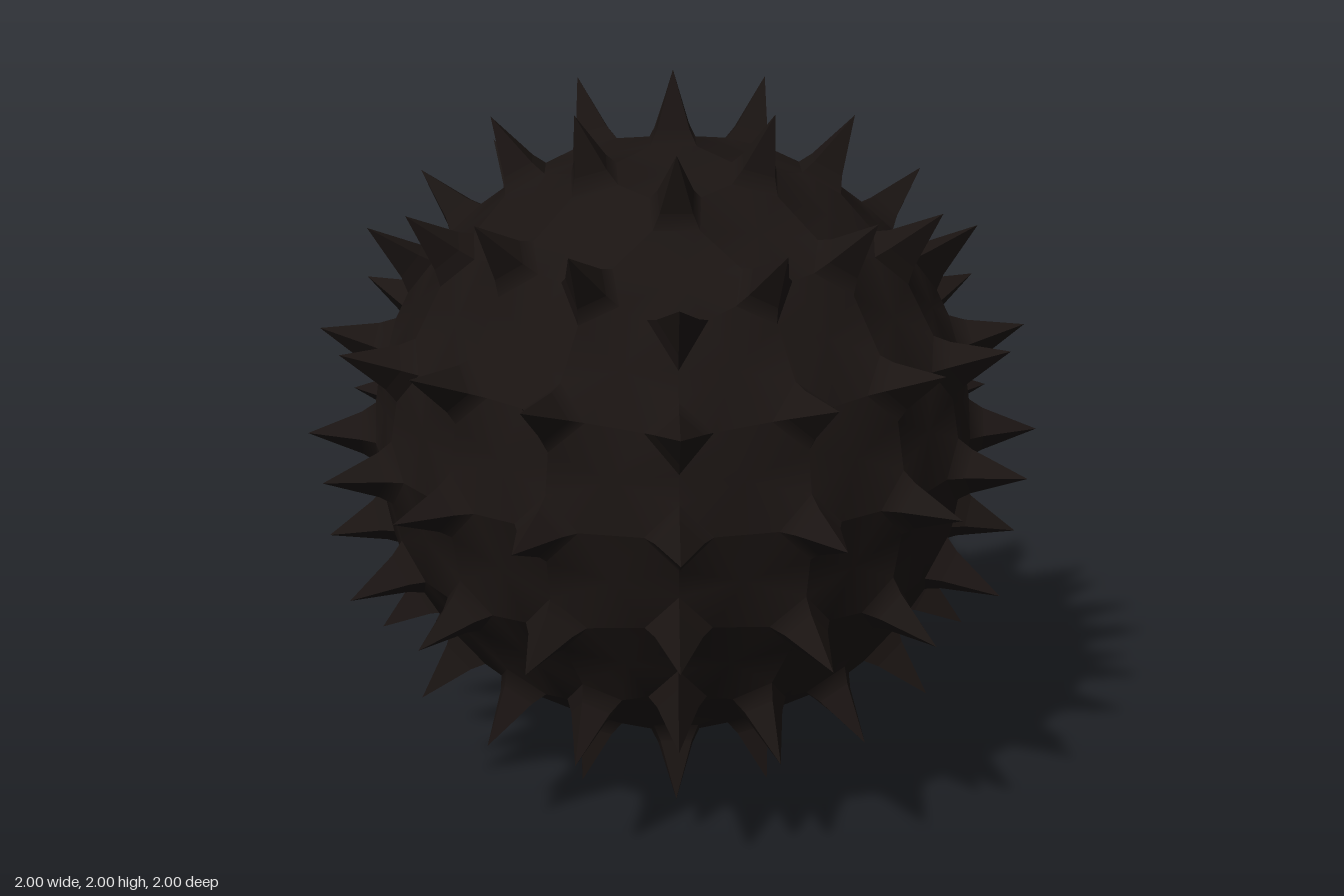
import * as THREE from 'three';
import { toCreasedNormals } from 'three/addons/utils/BufferGeometryUtils.js';

const BODY_R = 0.825, TIP_R = 1;

// Direction of a grid point (i, j from -2 to 2) on one side of a rounded cube.
function gridDirection(axis, sign, i, j) {
  const slide = (a, b) => {
    if (Math.abs(a) !== 1) return a / 2;
    return a * (Math.abs(b) === 2 ? 0.445 : 0.387);
  };
  const c = [0, 0, 0];
  c[axis] = sign;
  c[(axis + 1) % 3] = sign * slide(i, j);
  c[(axis + 2) % 3] = slide(j, i);
  return new THREE.Vector3(...c).normalize();
}

// Point on the grid edge from one corner toward another, lifted outward.
function edgePoint(from, to, distance, lift) {
  const start = from.clone().multiplyScalar(BODY_R);
  const along = to.clone().sub(from).normalize();
  return start.addScaledVector(along, distance).addScaledVector(from, lift);
}

function geometryFrom(points) {
  const geometry = new THREE.BufferGeometry().setFromPoints(points);
  return toCreasedNormals(geometry, 0.9);
}

export function createModel() {
  const group = new THREE.Group();
  const body = [], spikes = [];

  for (let axis = 0; axis < 3; axis++) for (const sign of [1, -1])
    for (let i = -2; i < 2; i++) for (let j = -2; j < 2; j++) {
      const corners = [[0, 0], [1, 0], [1, 1], [0, 1]]
        .map(([a, b]) => gridDirection(axis, sign, i + a, j + b));

      // Each panel is a quad with its corners cut off where the spikes stand.
      const outline = [];
      corners.forEach((corner, k) => {
        const next = corners[(k + 1) % 4], prev = corners[(k + 3) % 4];
        const a = edgePoint(corner, next, 0.088, 0);
        const b = edgePoint(corner, prev, 0.088, 0);
        const aTop = edgePoint(corner, next, 0.062, 0.035);
        const bTop = edgePoint(corner, prev, 0.062, 0.035);
        outline.push(b, a);
        // flared foot of the spike
        body.push(a, b, bTop, a, bTop, aTop);
        // one side of the spike
        spikes.push(aTop, bTop, corner.clone().multiplyScalar(TIP_R));
      });
      const centre = new THREE.Vector3();
      outline.forEach((p) => centre.addScaledVector(p, 1 / 8));
      outline.forEach((p, k) => body.push(centre, p, outline[(k + 1) % 8]));
    }

  const material = new THREE.MeshStandardMaterial({ color: 0x1a1412 });
  for (const [name, points] of [['body', body], ['spikes', spikes]]) {
    const mesh = new THREE.Mesh(geometryFrom(points), material);
    mesh.name = name;
    mesh.position.y = TIP_R;
    group.add(mesh);
  }
  group.name = 'spikyBall';
  return group;
}
